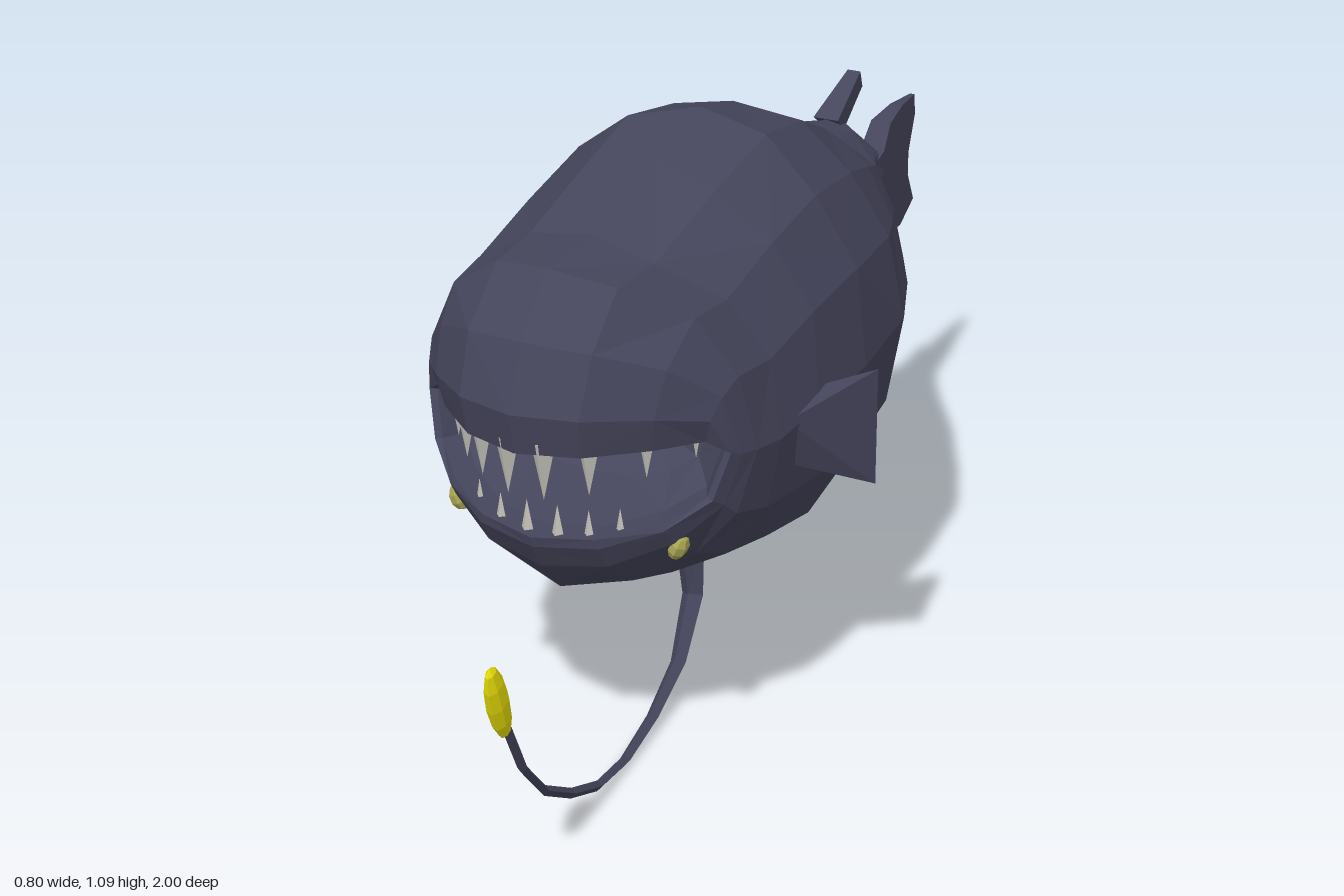
import * as THREE from 'three';
import { ConvexGeometry } from 'three/addons/geometries/ConvexGeometry.js';

const mat = (color, side = THREE.FrontSide) => new THREE.MeshStandardMaterial({ color, flatShading: true, side });
const skin = mat(0x45455c), toothMat = mat(0xc4c2ba), eyeMat = mat(0xaaa552), lureMat = mat(0xe8de08);

const SIDES = 16;
// Each ring: top z,y | side z,y,half width | bottom z,y | upper and lower roundness.
const RINGS = [
  [-0.80, 0.73, -0.80, 0.665, 0.02, -0.80, 0.60, 1, 1],
  [-0.64, 0.80, -0.64, 0.67, 0.08, -0.64, 0.54, 1, 1],
  [-0.59, 0.87, -0.59, 0.67, 0.105, -0.56, 0.45, 1, 1],
  [-0.42, 0.905, -0.46, 0.67, 0.2, -0.45, 0.375, 0.9, 0.9],
  [-0.29, 0.975, -0.31, 0.67, 0.265, -0.30, 0.33, 0.9, 0.9],
  [-0.13, 1.06, -0.17, 0.67, 0.315, -0.10, 0.275, 0.9, 0.9],
  [0.02, 1.085, 0.04, 0.67, 0.335, 0.05, 0.26, 0.9, 0.9],
  [0.20, 1.055, 0.22, 0.67, 0.33, 0.20, 0.295, 0.9, 0.9],
  [0.43, 1.0, 0.34, 0.67, 0.317, 0.40, 0.355, 0.9, 0.9],
  [0.57, 1.0, 0.42, 0.67, 0.305, 0.54, 0.41, 0.9, 0.9],
  [0.67, 0.91, 0.46, 0.68, 0.295, 0.62, 0.48, 0.75, 0.85],
  [0.715, 0.80, 0.485, 0.69, 0.285, 0.65, 0.53, 0.5, 0.7],
  [0.70, 0.725, 0.48, 0.69, 0.272, 0.655, 0.55, 0.3, 0.6], // lip
  [0.62, 0.765, 0.44, 0.68, 0.25, 0.60, 0.55, 0.4, 0.6],   // inside of the mouth
  [0.45, 0.76, 0.39, 0.68, 0.2, 0.45, 0.58, 0.5, 0.6],
  [0.35, 0.67, 0.35, 0.67, 0.001, 0.35, 0.67, 1, 1],
];
const CHEEK = 10, LIP = 12;

function ringPoint([zT, yT, zS, yS, w, zB, yB, pT, pB], a) {
  const s = Math.sin(a), up = s >= 0, f = Math.abs(s);
  return new THREE.Vector3(
    w * Math.cos(a),
    yS + ((up ? yT : yB) - yS) * Math.pow(f, up ? pT : pB),
    zS + ((up ? zT : zB) - zS) * f * f);
}

// Closed skin from the tail root forward, over the lip and back into the mouth.
function bodyGeometry() {
  const pos = [], index = [];
  RINGS.forEach((ring, i) => {
    for (let j = 0; j < SIDES; j++) {
      const p = ringPoint(ring, (j / SIDES) * Math.PI * 2);
      // slight unevenness for the hand-cut facets
      const k = i > 1 && i < CHEEK ? 0.008 : 0;
      p.z += 2 * k * Math.sin(i * 7.3 + j * 4.1);
      p.y += 0.6 * k * Math.sin(i * 3.7 + j * 5.9);
      pos.push(p.x, p.y, p.z);
    }
  });
  for (let i = 0; i < RINGS.length - 1; i++) {
    for (let j = 0; j < SIDES; j++) {
      const a = i * SIDES + j, b = i * SIDES + (j + 1) % SIDES, c = b + SIDES, d = a + SIDES;
      if ((i + j) % 2) index.push(a, b, c, a, c, d);
      else index.push(a, b, d, b, c, d);
    }
  }
  const g = new THREE.BufferGeometry();
  g.setAttribute('position', new THREE.Float32BufferAttribute(pos, 3));
  g.setIndex(index);
  g.computeVertexNormals();
  return g;
}

// Upright fin from a (z, y) outline; half thickness given as a function of z.
function finGeometry(outline, half) {
  const shape = new THREE.Shape(outline.map(([z, y]) => new THREE.Vector2(-z, y)));
  const g = new THREE.ExtrudeGeometry(shape, { depth: 2, bevelEnabled: false });
  g.translate(0, 0, -1).rotateY(Math.PI / 2);
  const p = g.attributes.position;
  for (let i = 0; i < p.count; i++) p.setX(i, Math.sign(p.getX(i)) * half(p.getZ(i)));
  g.computeVertexNormals();
  return g;
}

// Tapering four-sided stalk along a path.
function stalkGeometry(points, radius) {
  const curve = new THREE.CatmullRomCurve3(points);
  const n = 9, sides = 4;
  const g = new THREE.TubeGeometry(curve, n, 1, sides, false);
  const p = g.attributes.position, v = new THREE.Vector3();
  for (let i = 0; i < p.count; i++) {
    const t = Math.floor(i / (sides + 1)) / n, c = curve.getPointAt(t);
    v.fromBufferAttribute(p, i).sub(c).multiplyScalar(radius(t)).add(c);
    p.setXYZ(i, v.x, v.y, v.z);
  }
  g.computeVertexNormals();
  return g;
}

export function createModel() {
  const model = new THREE.Group();
  const add = (name, geometry, material, parent = model) => {
    const m = new THREE.Mesh(geometry, material);
    m.name = name;
    parent.add(m);
    return m;
  };

  add('body', bodyGeometry(), skin);

  // Tail and the two small rear fins
  add('tailFin', finGeometry([
    [-0.74, 0.73], [-0.78, 0.735], [-0.82, 0.78], [-0.9, 0.79], [-0.985, 0.785], [-0.995, 0.74], [-0.955, 0.67],
    [-0.955, 0.62], [-1, 0.55], [-0.91, 0.525], [-0.835, 0.535], [-0.78, 0.6], [-0.74, 0.61],
  ], z => 0.003 + 0.1 * (z + 1)), skin);
  add('upperRearFin', finGeometry([[-0.54, 0.88], [-0.675, 0.935], [-0.69, 0.9], [-0.58, 0.85]],
    z => 0.012 + 0.09 * (z + 0.69)), skin);
  add('lowerRearFin', finGeometry([[-0.48, 0.415], [-0.65, 0.4], [-0.665, 0.425], [-0.54, 0.495]],
    z => 0.012 + 0.09 * (z + 0.67)), skin);

  // Side fins and eyes, mirrored
  for (const [s, side] of [[1, 'left'], [-1, 'right']]) {
    const finPoints = [
      [0.31, 0.68, 0.32], [0.31, 0.58, 0.28], [0.32, 0.7, 0.2], [0.32, 0.585, 0.2],
      [0.4, 0.72, 0.14], [0.4, 0.5, 0.14], [0.394, 0.71, 0.138], [0.394, 0.51, 0.138],
    ].map(([x, y, z]) => new THREE.Vector3(s * x, y, z));
    add(side + 'SideFin', new ConvexGeometry(finPoints), skin);

    const eye = add(side + 'Eye', new THREE.SphereGeometry(1, 7, 5), eyeMat);
    eye.position.copy(ringPoint(RINGS[CHEEK], -Math.PI / 4)).add(new THREE.Vector3(0, -0.012, -0.015));
    eye.position.x *= s;
    eye.scale.set(0.017, 0.025, 0.022);
    eye.rotation.z = s * -0.4;
  }

  // Teeth set just inside the lip: [x, length]
  const teeth = new THREE.Group();
  teeth.name = 'teeth';
  model.add(teeth);
  const toothRow = (name, list, up) => list.forEach(([x, len]) => {
    const a = Math.acos(x / RINGS[LIP][4]) * (up ? 1 : -1);
    const p = ringPoint(RINGS[LIP], a), dir = up ? -1 : 1;
    const g = new THREE.ConeGeometry(len * 0.27, len + 0.02, 4);
    if (up) g.rotateX(Math.PI);
    const t = add(name, g, toothMat, teeth);
    t.position.set(p.x * 0.96, p.y + dir * (len / 2 - 0.01), p.z - 0.025);
  });
  toothRow('upperTooth', [[-0.225, 0.05], [-0.185, 0.06], [-0.145, 0.075], [-0.093, 0.08], [-0.03, 0.09],
    [0.038, 0.09], [0.108, 0.08], [0.183, 0.06], [0.24, 0.04]], true);
  toothRow('lowerTooth', [[-0.14, 0.035], [-0.08, 0.045], [-0.02, 0.055], [0.038, 0.055], [0.09, 0.045], [0.137, 0.04]], false);

  // Stalk hanging below the chin, ending in the lure
  const path = [[0.015, 0.29, 0.09], [0.02, 0.19, 0.08], [0.035, 0.075, 0.17], [0.045, 0.02, 0.31], [0.06, 0.012, 0.5],
    [0.08, 0.1, 0.7], [0.093, 0.21, 0.84], [0.105, 0.37, 0.935]].map(p => new THREE.Vector3(...p));
  add('lureStalk', stalkGeometry(path, t => 0.009 + 0.022 * Math.pow(1 - t, 5)), mat(0x45455c, THREE.DoubleSide));
  const lure = add('lure', new THREE.SphereGeometry(1, 7, 6), lureMat);
  lure.position.set(0.109, 0.432, 0.965);
  lure.scale.set(0.016, 0.085, 0.027);
  lure.rotation.set(0.36, 0, -0.05);

  return model;
}
